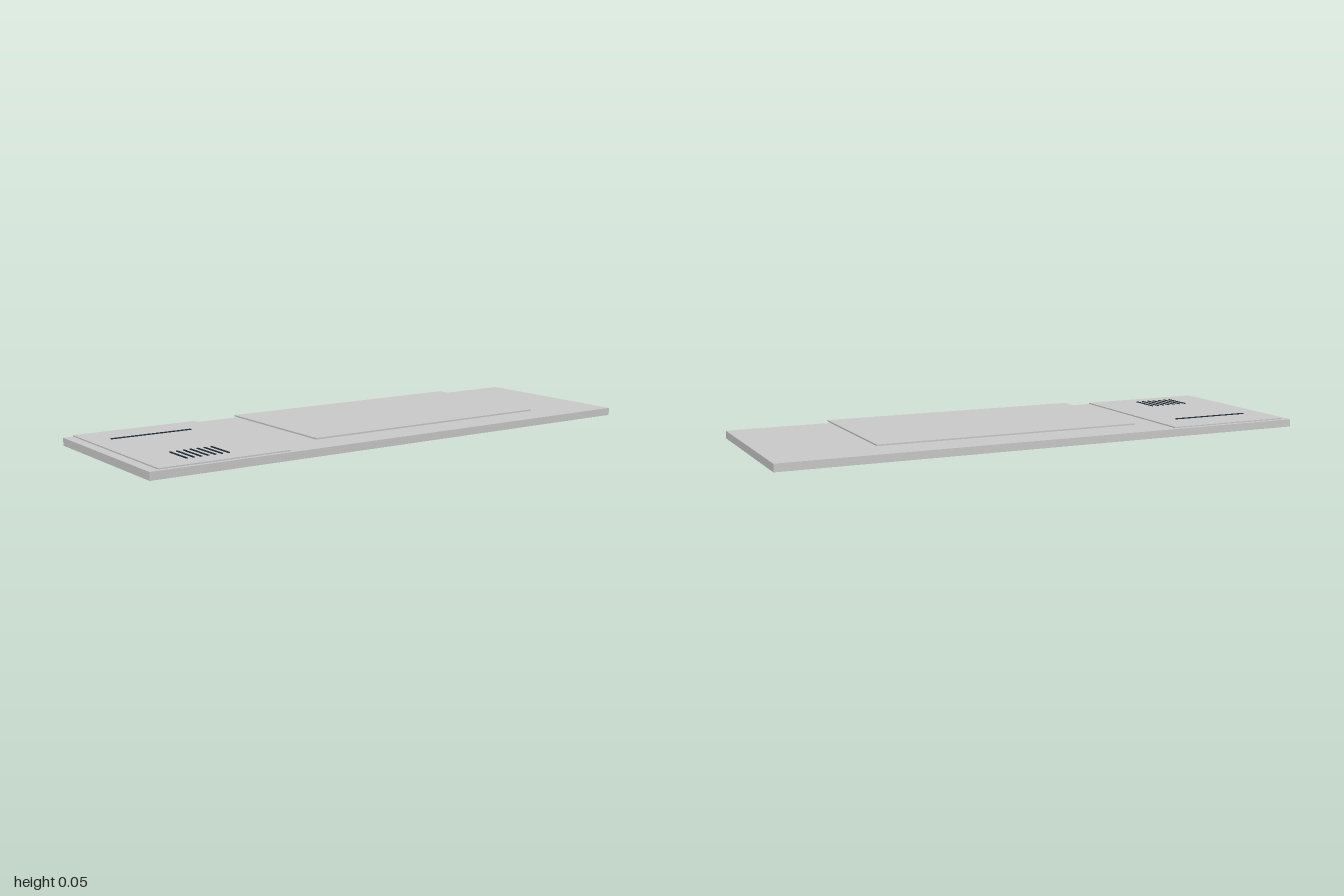
import * as THREE from 'three';

const grey = new THREE.MeshStandardMaterial({ color: 0xcccccc });
const pale = new THREE.MeshStandardMaterial({ color: 0xeceeec });
const dark = new THREE.MeshStandardMaterial({ color: 0x22303a });

// Box given by its lower and upper limits on each axis
function slab(name, material, [x0, x1], [y0, y1], [z0, z1]) {
  const mesh = new THREE.Mesh(new THREE.BoxGeometry(x1 - x0, y1 - y0, z1 - z0), material);
  mesh.position.set((x0 + x1) / 2, (y0 + y1) / 2, (z0 + z1) / 2);
  mesh.name = name;
  return mesh;
}

export function createModel() {
  const model = new THREE.Group();
  model.name = 'panelBoard';

  // Base board and the pale plate at its right end
  model.add(slab('baseBoard', grey, [-1, 1], [0, 0.028], [-0.334, 0.334]));
  model.add(slab('endPlate', pale, [-0.967, -0.488], [0.03, 0.0345], [-0.327, 0.327]));

  // Thin cover raised just above the board
  model.add(slab('raisedCover', grey, [-0.35, 0.637], [0.0445, 0.05], [-0.274, 0.274]));

  // Long slot at the back of the end plate
  model.add(slab('longSlot', dark, [-0.89, -0.583], [0.0345, 0.0375], [-0.185, -0.177]));

  // Row of grille slots at the front of the end plate
  const grille = new THREE.Group();
  grille.name = 'grille';
  for (let i = 0; i < 7; i++) {
    const x = -0.828 + i * 0.0255;
    grille.add(slab('grilleSlot', dark, [x - 0.003, x + 0.003], [0.0345, 0.0375], [0.132, 0.253]));
  }
  model.add(grille);

  return model;
}
